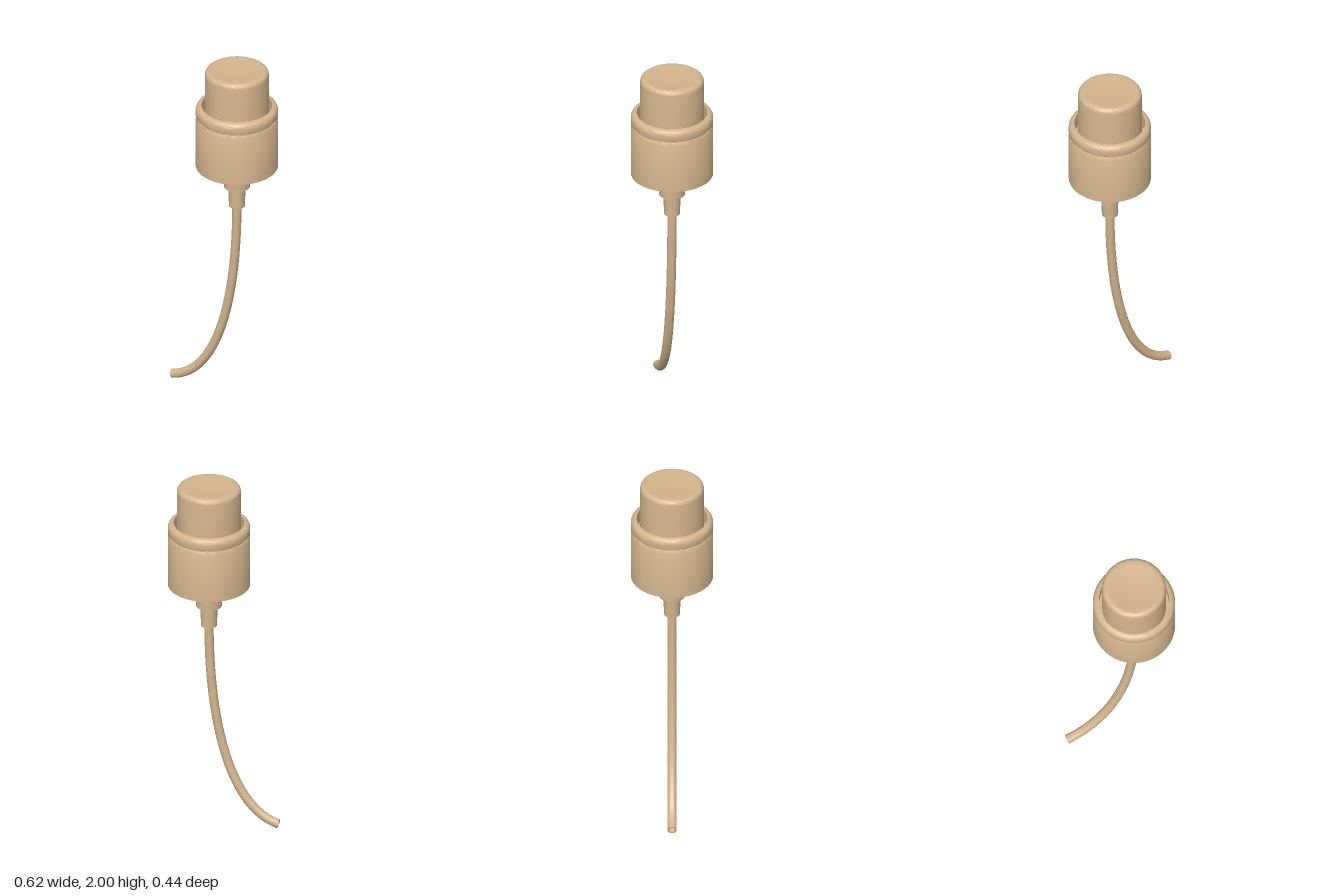
import * as THREE from 'three';
import { toCreasedNormals } from 'three/addons/utils/BufferGeometryUtils.js';

const AXIS = 0.087; // x of the pump's centre line
const material = new THREE.MeshStandardMaterial({ color: 0xd2b48c, side: THREE.DoubleSide });

// Quarter-round points about (cx, cy), from angle a to b in degrees
function fillet(cx, cy, r, a, b, n = 6) {
  return Array.from({ length: n + 1 }, (_, i) => {
    const t = THREE.MathUtils.degToRad(a + ((b - a) * i) / n);
    return [cx + r * Math.cos(t), cy + r * Math.sin(t)];
  });
}

// Turned part: profile of [radius, y], anticlockwise so faces point outwards
function turned(name, profile) {
  const points = profile.map(([r, y]) => new THREE.Vector2(Math.max(r, 0), y));
  const mesh = new THREE.Mesh(toCreasedNormals(new THREE.LatheGeometry(points, 72), 0.6), material);
  mesh.name = name;
  mesh.position.x = AXIS;
  return mesh;
}

export function createModel() {
  const model = new THREE.Group();
  model.name = 'dispenserPump';

  // Press button with a rounded rim and a shallow dished top
  const dish = [];
  for (let i = 1; i <= 6; i++) {
    const r = 0.147 * (1 - i / 6);
    dish.push([r, 1.99 + 0.01 * (r / 0.147) ** 2]);
  }
  model.add(turned('button', [
    [0, 1.69], [0.172, 1.69], ...fillet(0.147, 1.975, 0.025, 0, 90), ...dish,
  ]));

  // Collar: open-bottomed skirt, groove, rounded upper ring and recess around the button
  model.add(turned('collar', [
    [0, 1.66], [0.208, 1.66], [0.208, 1.415], [0.222, 1.415],
    [0.222, 1.695], [0.214, 1.712], [0.208, 1.712], [0.208, 1.725], [0.218, 1.725],
    ...fillet(0.217, 1.73, 0.005, -90, 0, 3),
    ...fillet(0.192, 1.755, 0.03, 0, 90),
    [0.19, 1.785], [0.19, 1.7], [0, 1.7],
  ]));

  // Stepped pump housing below the collar
  model.add(turned('housing', [
    [0, 1.165], [0.043, 1.165], [0.047, 1.285], [0.07, 1.285], [0.072, 1.36],
    [0.098, 1.36], [0.1, 1.67], [0, 1.67],
  ]));

  // Hollow dip tube curving towards the right
  const path = new THREE.CubicBezierCurve3(
    new THREE.Vector3(AXIS, 1.18, 0),
    new THREE.Vector3(AXIS, 0.6, 0),
    new THREE.Vector3(-0.025, 0.09, 0),
    new THREE.Vector3(-0.306, 0.026, 0),
  );
  const ring = new THREE.Shape().absarc(0, 0, 0.025, 0, Math.PI * 2);
  ring.holes.push(new THREE.Path().absarc(0, 0, 0.018, 0, Math.PI * 2, true));
  const tubeGeometry = new THREE.ExtrudeGeometry(ring, {
    steps: 48, curveSegments: 12, extrudePath: path, bevelEnabled: false,
  });
  const tube = new THREE.Mesh(toCreasedNormals(tubeGeometry, 0.6), material);
  tube.name = 'dipTube';
  model.add(tube);

  return model;
}
